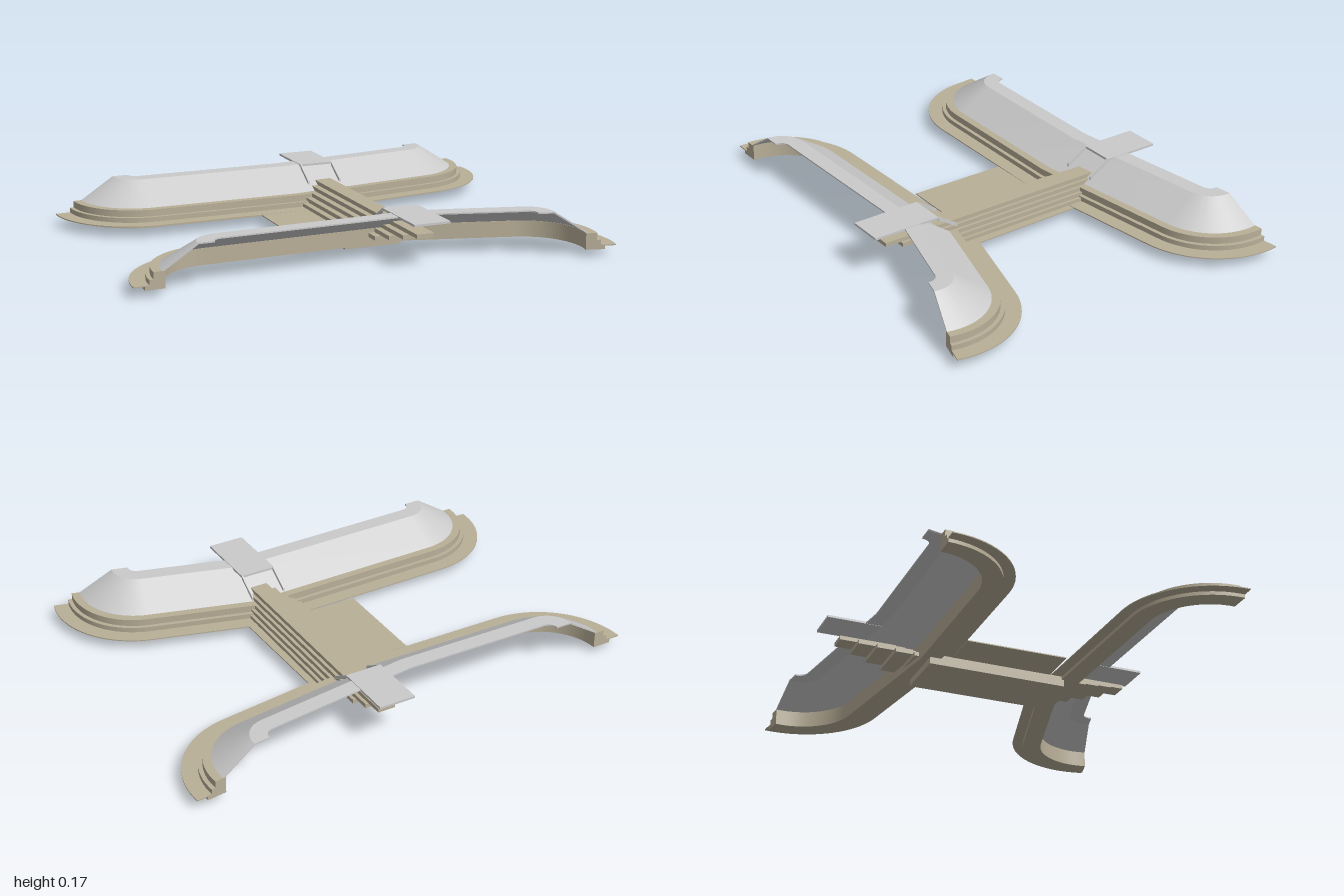
import * as THREE from 'three';
import { toCreasedNormals } from 'three/addons/utils/BufferGeometryUtils.js';

const stone = new THREE.MeshStandardMaterial({ color: 0xb9af98, side: THREE.DoubleSide });
stone.name = 'tan stone';
const shell = new THREE.MeshStandardMaterial({ color: 0xcacaca, side: THREE.DoubleSide });
shell.name = 'light grey';

const V = (x, z) => new THREE.Vector2(x, z);
const RADIUS = 0.32, STEPS = 20;

// Outer edge of an embankment as points with inward offset directions:
// a quarter turn, a bent straight, and another quarter turn.
function armPath({ start, bend, end, normals }) {
  const [n0, n1, n2, n3] = normals.map((n) => n.normalize());
  const path = [];
  const turn = (centre, a, b) => {
    for (let i = 0; i <= STEPS; i++) {
      const t = (i / STEPS) * Math.PI / 2;
      const n = a.clone().multiplyScalar(Math.cos(t)).addScaledVector(b, Math.sin(t));
      path.push({ p: centre.clone().addScaledVector(n, -RADIUS), n });
    }
  };
  turn(start.clone().addScaledVector(n0, RADIUS), n0, n1);
  path.push({ p: bend, n: n1.clone().add(n2).divideScalar(1 + n1.dot(n2)) });
  turn(end.clone().addScaledVector(n3, RADIUS), n2, n3);
  return path;
}

// Sweep a closed (inset, height) profile along a path and cap both ends.
function sweep(path, profile, flip) {
  const m = profile.length, pos = [], index = [];
  for (const { p, n } of path) {
    for (const [d, y] of profile) pos.push(p.x + n.x * d, y, p.y + n.y * d);
  }
  const tri = (a, b, c) => (flip ? index.push(a, c, b) : index.push(a, b, c));
  for (let i = 0; i < path.length - 1; i++) {
    for (let j = 0; j < m; j++) {
      const a = i * m + j, b = i * m + (j + 1) % m;
      tri(a, b, a + m);
      tri(b, b + m, a + m);
    }
  }
  const last = (path.length - 1) * m;
  for (const [a, b, c] of THREE.ShapeUtils.triangulateShape(profile.map(([d, y]) => V(d, y)), [])) {
    tri(a, c, b);
    tri(last + a, last + b, last + c);
  }
  const g = new THREE.BufferGeometry();
  g.setAttribute('position', new THREE.Float32BufferAttribute(pos, 3));
  g.setIndex(index);
  return toCreasedNormals(g, 0.1);
}

function add(parent, name, geometry, material) {
  const mesh = new THREE.Mesh(geometry, material);
  mesh.name = name;
  parent.add(mesh);
  return mesh;
}

export function createModel() {
  const model = new THREE.Group();
  model.name = 'earthworks';

  // Stepped stone footing with a thin skirt, and the hollow sloped shell above it
  const footing = [[0.04, 0.025], [0.04, 0.038], [0, 0.038], [0, 0.042], [0.055, 0.042],
    [0.055, 0.06], [0.07, 0.06], [0.07, 0.085], [0.11, 0.085], [0.11, 0.025]];
  const slope = [[0.1, 0.085], [0.225, 0.166], [0.285, 0.166], [0.285, 0.161], [0.228, 0.161], [0.108, 0.085]];

  const arms = [
    { name: 'rightArm', flip: false, start: V(-0.5, -1), bend: V(-0.27, -0.05), end: V(-0.785, 0.745),
      normals: [V(-0.1, 1), V(-1, -0.1), V(-0.975, -0.22), V(0.22, -0.975)] },
    { name: 'leftArm', flip: true, start: V(0.78, -0.64), bend: V(0.148, -0.155), end: V(0.23, 1),
      normals: [V(-0.48, 0.877), V(0.877, 0.48), V(0.978, 0.21), V(0.21, -0.978)] },
  ];
  for (const arm of arms) {
    const group = new THREE.Group();
    group.name = arm.name;
    const path = armPath(arm);
    add(group, 'footing', sweep(path, footing, arm.flip), stone);
    add(group, 'slopedShell', sweep(path, slope, arm.flip), shell);
    model.add(group);
  }

  // Thin floor between the two arms
  const outline = new THREE.Shape([V(-0.245, -0.29), V(0.175, -0.2), V(0.147, -0.155),
    V(0.058, 0.217), V(-0.31, 0.13), V(-0.27, -0.05)]);
  const floor = new THREE.ExtrudeGeometry(outline, { depth: 0.004, bevelEnabled: false });
  floor.rotateX(Math.PI / 2).translate(0, 0.0415, 0);
  add(model, 'floor', floor, stone);

  // Crossing, turned to run from arm to arm
  const crossing = new THREE.Group();
  crossing.name = 'crossing';
  crossing.position.set(-0.064, 0, -0.136);
  crossing.rotation.y = -0.226;
  model.add(crossing);
  const box = (name, mat, x0, x1, y0, y1, z0, z1) => {
    const g = new THREE.BoxGeometry(x1 - x0, y1 - y0, z1 - z0);
    g.translate((x0 + x1) / 2, (y0 + y1) / 2, (z0 + z1) / 2);
    return add(crossing, name, g, mat);
  };
  box('foundation', stone, -0.265, 0.255, 0, 0.038, -0.05, 0.165);

  // Stair tiers, longer and narrower towards the top
  for (let i = 0; i < 5; i++) {
    const half = 0.31 + i * 0.0625, y = 0.04 + i * 0.015;
    box('stairTier', stone, -half, half, y, y + 0.015, -0.085 + i * 0.012, 0.125 - i * 0.024);
  }

  // Flat wings over the arms, with slim rails running down the slopes
  for (const s of [-1, 1]) {
    const inner = s < 0 ? -0.4 : 0.36, outer = 0.62 * s;
    box('wing', shell, Math.min(inner, outer), Math.max(inner, outer), 0.16, 0.168, -0.068, 0.068);
    for (const z of [-0.068, 0.062]) {
      const foot = inner - s * 0.08;
      const rail = new THREE.Shape([V(inner, 0.168), V(foot, 0.118), V(foot, 0.105), V(inner, 0.155)]);
      const g = new THREE.ExtrudeGeometry(rail, { depth: 0.006, bevelEnabled: false });
      add(crossing, 'slopeRail', g.translate(0, 0, z), shell);
    }
  }
  return model;
}
